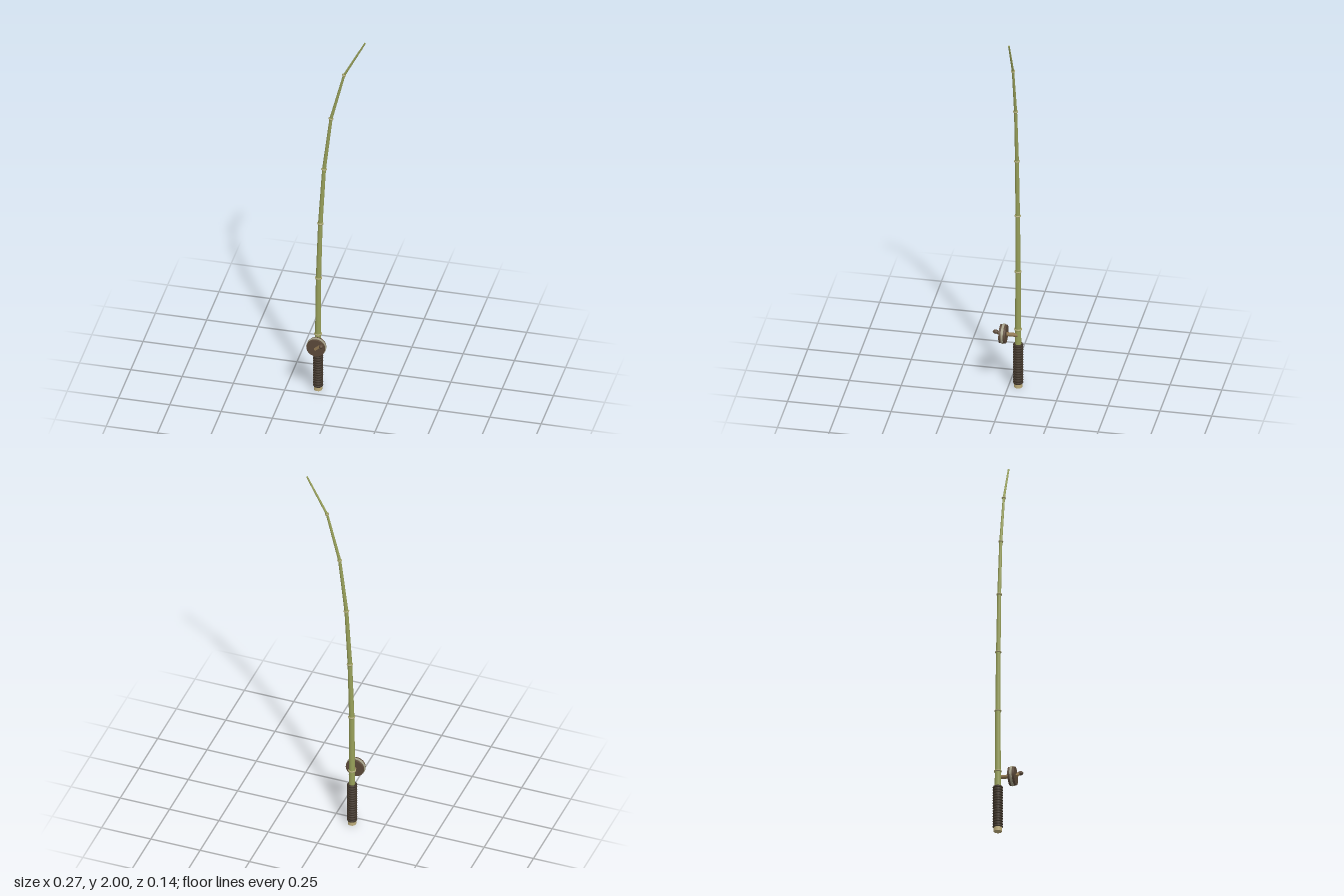
import * as THREE from 'three';

const V = (x, y, z) => new THREE.Vector3(x, y, z);
const UP = V(0, 1, 0);
const ROD_X = -0.098, ROD_Z = -0.046;

const paint = (color) => new THREE.MeshStandardMaterial({ color });
const bamboo = paint(0x98a05a), joint = paint(0xaba673), cork = paint(0xbfae7c);
const cord = paint(0x40352a), wood = paint(0x5c4a3a), brass = paint(0x8f7650), metal = paint(0xa8a48c);

function add(parent, name, geometry, material) {
  const mesh = new THREE.Mesh(geometry, material);
  mesh.name = name;
  parent.add(mesh);
  return mesh;
}

// Tapered cylinder running from point a to point b
function rodBetween(parent, name, a, b, ra, rb, material, sides = 12) {
  const dir = b.clone().sub(a);
  const mesh = add(parent, name, new THREE.CylinderGeometry(rb, ra, dir.length(), sides), material);
  mesh.position.copy(a).lerp(b, 0.5);
  mesh.quaternion.setFromUnitVectors(UP, dir.normalize());
  return mesh;
}

export function createModel() {
  const model = new THREE.Group();
  model.name = 'fishingRod';

  // Bamboo pole: straight segments bending toward +x, with a swollen ring at each joint
  const pole = new THREE.Group();
  pole.name = 'pole';
  model.add(pole);
  const path = [[-0.098, 0.01], [-0.098, 0.315], [-0.096, 0.632], [-0.087, 0.943],
    [-0.069, 1.253], [-0.035, 1.545], [0.029, 1.802], [0.131, 1.998]]
    .map(([x, y]) => V(x, y, ROD_Z));
  const radius = (i) => 0.0165 - 0.0125 * i / (path.length - 1);
  for (let i = 0; i < path.length - 1; i++) {
    rodBetween(pole, 'poleSegment', path[i], path[i + 1], radius(i), radius(i + 1), bamboo);
    if (i === 0) continue;
    const ring = add(pole, 'poleJoint', new THREE.TorusGeometry(radius(i), 0.0045, 8, 16), joint);
    ring.position.copy(path[i]);
    const along = path[i + 1].clone().sub(path[i - 1]).normalize();
    ring.quaternion.setFromUnitVectors(V(0, 0, 1), along);
  }

  // Handle: core wrapped in cord, with a pale butt cap
  const handle = new THREE.Group();
  handle.name = 'handle';
  handle.position.set(ROD_X, 0, ROD_Z);
  model.add(handle);
  rodBetween(handle, 'buttCap', V(0, 0, 0), V(0, 0.022, 0), 0.02, 0.02, cork, 16);
  rodBetween(handle, 'gripCore', V(0, 0.015, 0), V(0, 0.235, 0), 0.0195, 0.0195, cord, 16);
  const wraps = 16;
  for (let i = 0; i < wraps; i++) {
    const wrap = add(handle, 'cordWrap', new THREE.TorusGeometry(0.019, 0.0058, 6, 16), cord);
    wrap.rotation.x = Math.PI / 2;
    wrap.position.y = 0.025 + i * 0.205 / (wraps - 1);
  }

  // Reel: stem, two flanges around a pale spool band, crank and knob
  const reel = new THREE.Group();
  reel.name = 'reel';
  reel.position.set(-0.09, 0.286, 0);
  model.add(reel);
  rodBetween(reel, 'reelStem', V(0, 0, ROD_Z), V(0, 0, 0.012), 0.0095, 0.0095, brass);
  rodBetween(reel, 'backFlange', V(0, 0, 0.008), V(0, 0, 0.02), 0.045, 0.045, wood, 24);
  rodBetween(reel, 'spoolBand', V(0, 0, 0.0185), V(0, 0, 0.0295), 0.048, 0.048, metal, 24);
  rodBetween(reel, 'frontFlange', V(0, 0, 0.028), V(0, 0, 0.04), 0.045, 0.045, wood, 24);
  const arm = add(reel, 'crankArm', new THREE.BoxGeometry(0.046, 0.01, 0.012), brass);
  arm.position.set(0.015, 0.013, 0.046);
  arm.rotation.z = Math.atan2(0.026, 0.031);
  const knob = add(reel, 'crankKnob', new THREE.SphereGeometry(0.0105, 12, 8), wood);
  knob.scale.z = 1.35;
  knob.position.set(0.031, 0.026, 0.055);

  return model;
}
